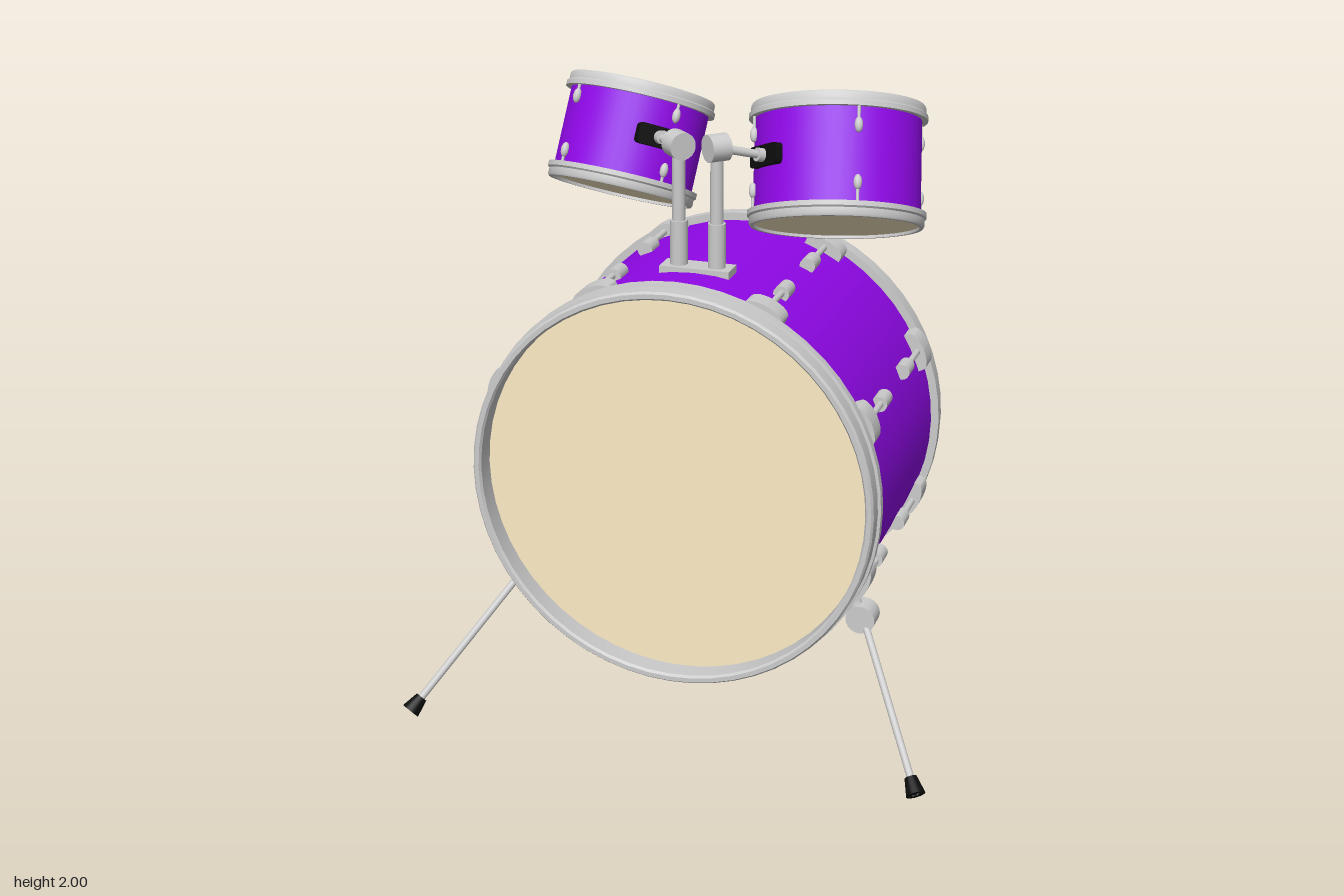
import * as THREE from 'three';
import { toCreasedNormals } from 'three/addons/utils/BufferGeometryUtils.js';

const paint = (color, side = THREE.FrontSide) => new THREE.MeshStandardMaterial({ color, side });
const metal = paint(0xcccccc);
const metalRing = paint(0xcccccc, THREE.DoubleSide);
const purple = paint(0x9008e8);
const skin = paint(0xfdebc6);
const rubber = paint(0x0c0c0c);
const UP = new THREE.Vector3(0, 1, 0);
const V = (x, y, z) => new THREE.Vector3(x, y, z);
const deg = Math.PI / 180;

function add(parent, name, geometry, material, x = 0, y = 0, z = 0) {
  const mesh = new THREE.Mesh(geometry, material);
  mesh.name = name;
  mesh.position.set(x, y, z);
  parent.add(mesh);
  return mesh;
}

// Cylinder running from point a (radius ra) to point b (radius rb)
function rod(parent, name, a, b, ra, rb = ra, material = metal, sides = 16) {
  const dir = b.clone().sub(a);
  const mesh = add(parent, name, new THREE.CylinderGeometry(rb, ra, dir.length(), sides), material);
  mesh.position.copy(a).lerp(b, 0.5);
  mesh.quaternion.setFromUnitVectors(UP, dir.normalize());
  return mesh;
}

// Ring around y from a closed [radius, height] outline
function ring(parent, name, outline) {
  const pts = [...outline, outline[0]].map(([r, y]) => new THREE.Vector2(r, y));
  return add(parent, name, toCreasedNormals(new THREE.LatheGeometry(pts, 56), 0.6), metalRing);
}

function bassDrum() {
  const drum = new THREE.Group();
  drum.name = 'bassDrum';
  drum.position.set(0, 0.83, -0.0825);
  const R = 0.62;
  const shell = add(drum, 'bassShell', new THREE.CylinderGeometry(R, R, 0.78, 56, 1, true), purple);
  shell.rotation.x = Math.PI / 2;

  for (const s of [1, -1]) {
    // Hoop with a raised flange on its inner edge, and the drum head set back inside
    const end = new THREE.Group();
    end.name = s > 0 ? 'frontHoop' : 'rearHoop';
    end.rotation.x = s * Math.PI / 2;
    drum.add(end);
    ring(end, 'hoop', [[0.61, 0.372], [0.645, 0.372], [0.645, 0.398], [0.636, 0.4],
      [0.636, 0.448], [0.63, 0.456], [0.616, 0.456], [0.61, 0.448]]);
    add(end, 'bassHead', new THREE.CylinderGeometry(0.612, 0.612, 0.012, 56), skin, 0, 0.378, 0);

    // Eight tension claws, each with a rod and a small lug
    for (const angle of [24, 65, 115, 156, 204, 245, 295, 336]) {
      const lug = new THREE.Group();
      lug.name = 'tensionLug';
      lug.rotation.z = angle * deg;
      drum.add(lug);
      const pad = new THREE.Shape();
      pad.moveTo(-0.02, -0.064);
      pad.lineTo(0.018, -0.062);
      pad.quadraticCurveTo(0.038, -0.05, 0.04, 0);
      pad.quadraticCurveTo(0.038, 0.05, 0.018, 0.062);
      pad.lineTo(-0.02, 0.064);
      const claw = new THREE.ExtrudeGeometry(pad, { depth: 0.07, bevelEnabled: false, curveSegments: 6 });
      add(lug, 'claw', claw, metal, R, 0, s > 0 ? 0.302 : -0.372);
      rod(lug, 'tensionRod', V(R + 0.016, 0, s * 0.17), V(R + 0.016, 0, s * 0.31), 0.01);
      rod(lug, 'smallLug', V(R + 0.012, 0, s * 0.11), V(R + 0.012, 0, s * 0.18), 0.025);
    }
  }
  return drum;
}

// Tom given by the centres of its two ends; lugs start at angle phase
function tom(name, bottom, top, R, phase, joint) {
  const g = new THREE.Group();
  g.name = name;
  const axis = top.clone().sub(bottom);
  const half = axis.length() / 2;
  g.position.copy(bottom).lerp(top, 0.5);
  g.quaternion.setFromUnitVectors(UP, axis.normalize());
  const r = R - 0.018;
  add(g, 'tomShell', new THREE.CylinderGeometry(r, r, half * 2 - 0.03, 48, 1, true), purple);

  for (const s of [1, -1]) {
    ring(g, 'tomHoop', [[r - 0.003, s * (half - 0.045)], [R, s * (half - 0.045)], [R, s * (half - 0.03)],
      [R - 0.006, s * (half - 0.025)], [R - 0.006, s * (half - 0.006)], [R - 0.01, s * half], [r - 0.003, s * half]]);
    add(g, 'tomHead', new THREE.CylinderGeometry(r, r, 0.01, 48), skin, 0, s * (half - 0.014), 0);
    for (let i = 0; i < 4; i++) {
      const a = phase + i * Math.PI / 2;
      const lug = add(g, 'tomLug', new THREE.SphereGeometry(0.013, 12, 8), metal,
        Math.cos(a) * (r + 0.006), s * 0.085, Math.sin(a) * (r + 0.006));
      lug.scale.y = 1.8;
      rod(g, 'tomTensionRod', V(lug.position.x, s * 0.085, lug.position.z),
        V(lug.position.x, s * (half - 0.03), lug.position.z), 0.005, 0.005, metal, 8);
    }
  }

  // Black mounting plate facing the joint on the stand
  g.updateMatrixWorld(true);
  const local = g.worldToLocal(joint.clone());
  const a = Math.atan2(local.z, local.x);
  const plate = new THREE.Shape();
  const w = 0.072, h = 0.032, c = 0.015;
  plate.moveTo(-w + c, -h);
  plate.lineTo(w - c, -h);
  plate.quadraticCurveTo(w, -h, w, -h + c);
  plate.lineTo(w, h - c);
  plate.quadraticCurveTo(w, h, w - c, h);
  plate.lineTo(-w + c, h);
  plate.quadraticCurveTo(-w, h, -w, h - c);
  plate.lineTo(-w, -h + c);
  plate.quadraticCurveTo(-w, -h, -w + c, -h);
  const y = 0.008;
  const mount = add(g, 'mountPlate', new THREE.ExtrudeGeometry(plate, { depth: 0.03, bevelEnabled: false }), rubber,
    Math.cos(a) * (r - 0.016), y, Math.sin(a) * (r - 0.016));
  mount.rotation.y = Math.PI / 2 - a;
  rod(g, 'mountArm', V(Math.cos(a) * r, y, Math.sin(a) * r), local, 0.013);
  rod(g, 'armCollar', V(Math.cos(a) * r, y, Math.sin(a) * r),
    V(Math.cos(a) * (r + 0.035), y, Math.sin(a) * (r + 0.035)), 0.021);
  return g;
}

export function createModel() {
  const model = new THREE.Group();
  model.name = 'drumSet';
  model.add(bassDrum());

  // Stand: base plate and two posts with clamp joints
  const stand = new THREE.Group();
  stand.name = 'tomStand';
  model.add(stand);
  add(stand, 'basePlate', new THREE.BoxGeometry(0.22, 0.025, 0.08), metal, 0, 1.45, 0.08);
  const joints = [-1, 1].map((s) => {
    const x = s * 0.06;
    rod(stand, 'postSleeve', V(x, 1.44, 0.08), V(x, 1.6, 0.08), 0.027);
    rod(stand, 'post', V(x, 1.58, 0.08), V(x, 1.82, 0.08), 0.02);
    rod(stand, 'clampJoint', V(x - s * 0.022, 1.832, 0.102), V(x + s * 0.022, 1.832, 0.058), 0.042, 0.042, metal, 20);
    return V(x, 1.832, 0.08);
  });

  model.add(tom('rightTom', V(-0.33, 1.602, -0.142), V(-0.295, 1.905, -0.272), 0.237, 40 * deg, joints[0]));
  model.add(tom('leftTom', V(0.372, 1.553, -0.137), V(0.332, 1.891, -0.287), 0.273, 62 * deg, joints[1]));

  // Angled front legs with clamps and rubber feet
  for (const s of [-1, 1]) {
    const leg = new THREE.Group();
    leg.name = s < 0 ? 'rightLeg' : 'leftLeg';
    model.add(leg);
    const top = V(s * 0.56, 0.41, 0.16), foot = V(s * 0.823, 0.024, 0.512);
    rod(leg, 'legClamp', V(s * 0.56, 0.41, 0.125), V(s * 0.56, 0.41, 0.195), 0.046, 0.046, metal, 20);
    rod(leg, 'clampScrew', V(s * 0.55, 0.42, 0.16), V(s * 0.525, 0.468, 0.16), 0.022);
    rod(leg, 'legRod', top, foot, 0.0115);
    rod(leg, 'rubberFoot', foot.clone().lerp(top, 0.095), foot, 0.019, 0.03, rubber);
  }

  // Upright rear leg
  const rear = new THREE.Group();
  rear.name = 'rearLeg';
  model.add(rear);
  rod(rear, 'legRod', V(0, 0.23, -0.437), V(0, 0.03, -0.437), 0.01);
  rod(rear, 'rubberFoot', V(0, 0.062, -0.437), V(0, 0, -0.437), 0.02, 0.028, rubber);
  return model;
}
